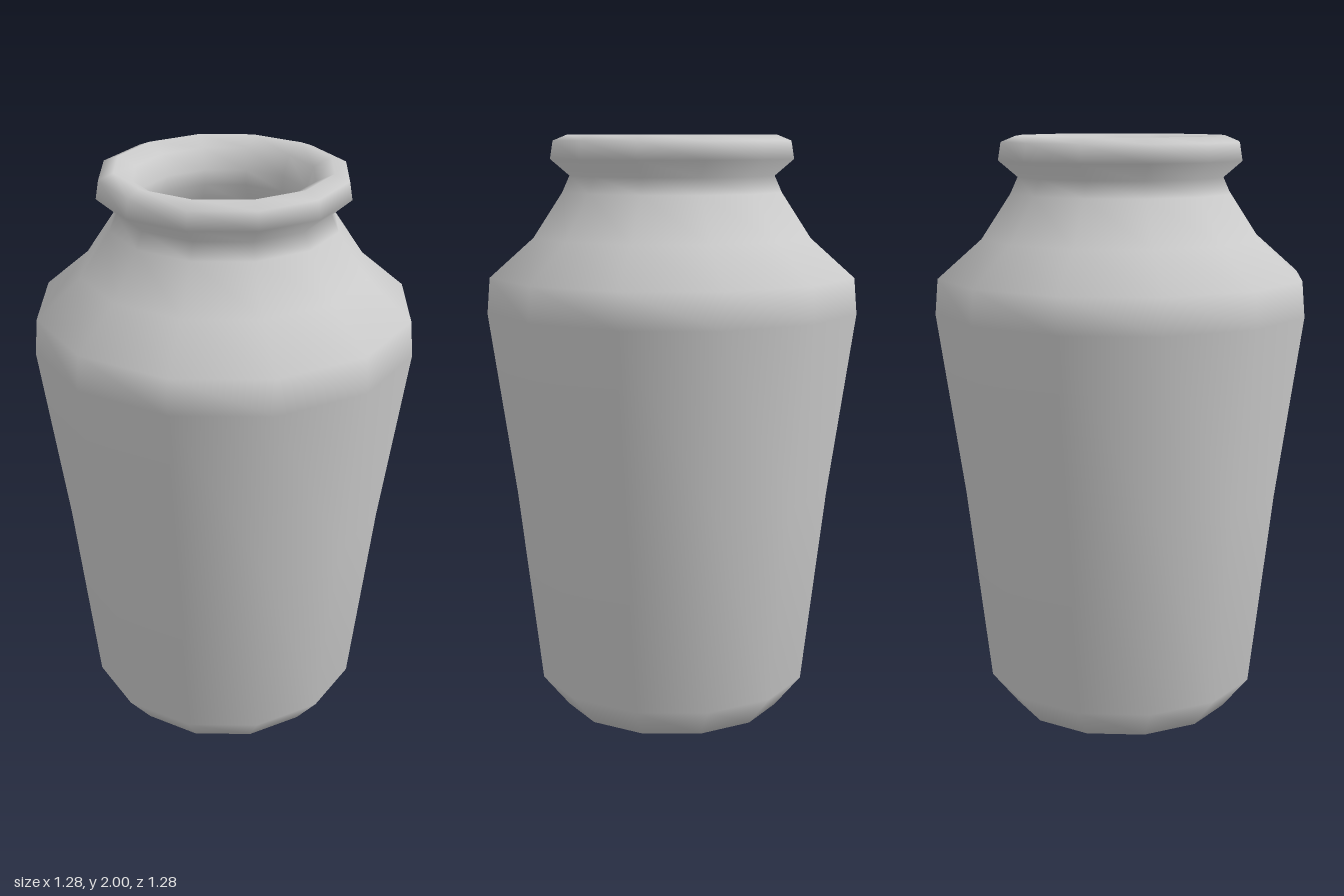
import * as THREE from 'three';

const SIDES = 12;

export function createModel() {
  const group = new THREE.Group();
  group.name = 'jar';
  const material = new THREE.MeshStandardMaterial({ color: 0xcccccc });

  // Closed profile (radius, height): up the outside, over the lip, down the inside
  const outside = [
    [0, 0], [0.38, 0], [0.47, 0.11], [0.55, 0.79], [0.64, 1.41], [0.63, 1.53],
    [0.48, 1.66], [0.38, 1.81], [0.355, 1.865],
  ];
  const lip = [[0.42, 1.92], [0.41, 1.98], [0.36, 2], [0.3, 1.97], [0.275, 1.9]];
  const inside = [
    [0.27, 1.85], [0.31, 1.77], [0.41, 1.61], [0.55, 1.49], [0.56, 1.41],
    [0.47, 0.79], [0.4, 0.14], [0.34, 0.07], [0, 0.07],
  ];
  const profile = [...outside, ...lip, ...inside].map(([r, y]) => new THREE.Vector2(r, y));

  // Twelve-sided body with smooth shading
  const body = new THREE.Mesh(new THREE.LatheGeometry(profile, SIDES), material);
  body.name = 'jarBody';
  group.add(body);
  return group;
}
